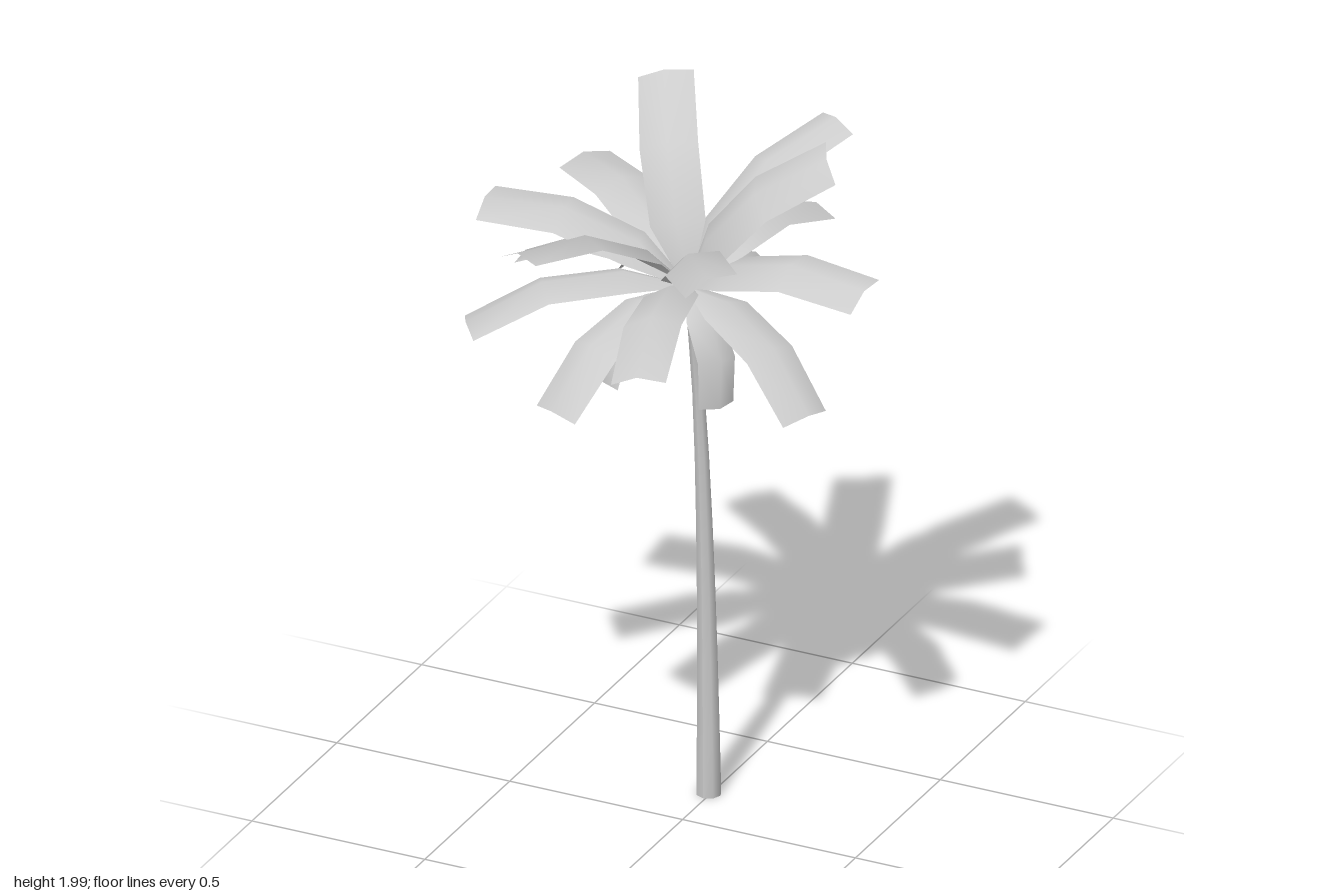
import * as THREE from 'three';

const CROWN = new THREE.Vector3(-0.008, 1.53, -0.047);
const UP = new THREE.Vector3(0, 1, 0);

// Every frond: tip position, roll about its own length, width scale
const FRONDS = [
  [0.13, 1.57, -0.513, 0, 1], [0.235, 1.88, -0.437, 0, 1], [0.372, 1.94, -0.115, -0.6, 1],
  [0.547, 1.66, 0.04, -0.28, 1], [0.415, 1.315, 0.127, 0, 1], [0.27, 1.785, 0.38, -0.38, 1],
  [0.125, 1.53, 0.515, -0.15, 1], [-0.18, 1.31, 0.38, 0, 1], [-0.27, 1.755, 0.42, -0.22, 1],
  [-0.48, 1.45, 0.28, 0, 1], [-0.55, 1.69, 0.04, 0.22, 1], [-0.495, 1.48, -0.098, -0.2, 0.9],
  [-0.465, 1.65, -0.37, 0.1, 1], [-0.21, 1.975, -0.33, 0.33, 1], [0.115, 1.248, 0.038, 0, 0.7],
  [0.12, 1.44, -0.32, 0, 1], [-0.25, 1.44, -0.25, 0, 0.85], [-0.15, 1.3, 0.13, 0, 0.75],
];

// Stations along a frond: fraction of length, upward bow, half width, ridge height
const STATIONS = [
  [0, 0, 0.008, 0.004],
  [0.28, 0.05, 0.074, 0.028],
  [0.64, 0.065, 0.078, 0.028],
  [1, 0, 0.074, 0.022],
];

// Arched leaf strip with a raised midrib, bowed between crown and tip
function frondGeometry([x, y, z, roll, width]) {
  const axis = new THREE.Vector3(x, y, z).sub(CROWN);
  const along = axis.clone().normalize();
  const side = new THREE.Vector3().crossVectors(axis, UP).normalize().applyAxisAngle(along, -roll);
  const top = new THREE.Vector3().crossVectors(side, along);
  const spine = STATIONS.map(([t, bow]) =>
    CROWN.clone().addScaledVector(axis, t).addScaledVector(top, bow));
  const positions = [];
  const index = [];
  STATIONS.forEach(([, , half, ridge], i) => {
    const tangent = spine[Math.min(i + 1, 3)].clone().sub(spine[Math.max(i - 1, 0)]);
    const normal = new THREE.Vector3().crossVectors(side, tangent).normalize();
    for (const s of [-1, 0, 1]) {
      const p = spine[i].clone().addScaledVector(side, s * half * width);
      if (s === 0) p.addScaledVector(normal, ridge);
      positions.push(p.x, p.y, p.z);
    }
    if (i === 3) return;
    for (let j = 0; j < 2; j++) {
      const a = i * 3 + j;
      index.push(a, a + 1, a + 3, a + 1, a + 4, a + 3);
    }
  });
  const geometry = new THREE.BufferGeometry();
  geometry.setAttribute('position', new THREE.Float32BufferAttribute(positions, 3));
  geometry.setIndex(index);
  geometry.computeVertexNormals();
  return geometry;
}

// Tapered trunk whose rings follow a gentle forward lean
function trunkGeometry() {
  const height = 1.53;
  const path = new THREE.CatmullRomCurve3([
    [0, -0.167], [0.4, -0.158], [0.8, -0.14], [1.2, -0.105], [height, -0.045],
  ].map(([y, z]) => new THREE.Vector3(-0.006, y, z)));
  const geometry = new THREE.CylinderGeometry(0.011, 0.034, height, 8, 8);
  geometry.translate(0, height / 2, 0);
  const pos = geometry.attributes.position;
  for (let i = 0; i < pos.count; i++) {
    const c = path.getPoint(pos.getY(i) / height);
    pos.setXYZ(i, pos.getX(i) + c.x, c.y, pos.getZ(i) + c.z);
  }
  geometry.computeVertexNormals();
  return geometry;
}

export function createModel() {
  const model = new THREE.Group();
  model.name = 'palmTree';

  const bark = new THREE.MeshStandardMaterial({ color: 0xcccccc });
  const trunk = new THREE.Mesh(trunkGeometry(), bark);
  trunk.name = 'trunk';
  model.add(trunk);

  // Crown of fronds
  const leaf = new THREE.MeshStandardMaterial({ color: 0xcccccc, side: THREE.DoubleSide });
  const crown = new THREE.Group();
  crown.name = 'crown';
  FRONDS.forEach((spec, i) => {
    const frond = new THREE.Mesh(frondGeometry(spec), leaf);
    frond.name = `frond${i + 1}`;
    crown.add(frond);
  });
  model.add(crown);
  return model;
}
